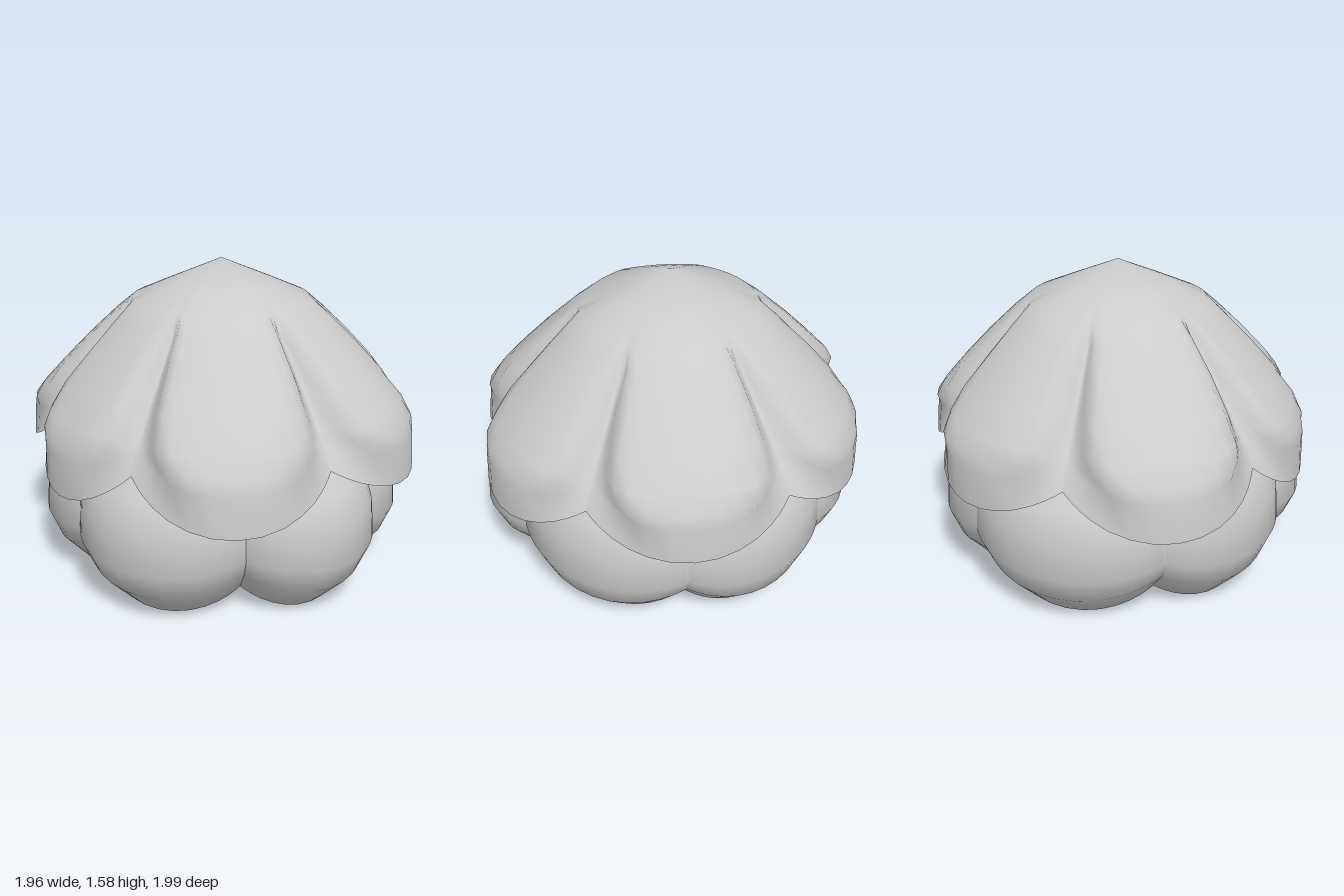
import * as THREE from 'three';
import { mergeVertices, toCreasedNormals } from 'three/addons/utils/BufferGeometryUtils.js';

const { lerp, smoothstep, degToRad } = THREE.MathUtils;

// Angles of the cap grooves, and of the seams between the lower bulges.
const GROOVES = [-86, -26, 40, 98, 160, 212, 274];
const SEAMS = [-117, -48, 8, 73, 125, 186, 243];
const STEPS = 16;

// Lobed surface: point(row, u, lobe) gives [radius, height], u runs -1..1 across a lobe.
function lobedSurface(edges, rows, point, crease) {
  const pos = [], index = [];
  const stride = STEPS + 1;
  for (let k = 0; k < edges.length - 1; k++) {
    const base = pos.length / 3;
    for (let row = 0; row < rows; row++) {
      for (let i = 0; i <= STEPS; i++) {
        const u = Math.sin((i / STEPS - 0.5) * Math.PI);
        const angle = degToRad(lerp(edges[k], edges[k + 1], (u + 1) / 2));
        const [r, y] = point(row, u, k);
        pos.push(r * Math.cos(angle), y, r * Math.sin(angle));
        if (row < rows - 1 && i < STEPS) {
          const a = base + row * stride + i, c = a + stride;
          index.push(a, a + 1, c, a + 1, c + 1, c);
        }
      }
    }
  }
  const geo = new THREE.BufferGeometry();
  geo.setAttribute('position', new THREE.Float32BufferAttribute(pos, 3));
  geo.setIndex(index);
  return toCreasedNormals(mergeVertices(geo, 1e-4), crease);
}

// Cap: ridge and groove profiles [r, y], with the share of the lobe that stays full.
const RIDGE = [[0, 1.59], [0.28, 1.47], [0.45, 1.395], [0.54, 1.32], [0.68, 1.185], [0.82, 1.035], [0.92, 0.92], [0.97, 0.845], [0.985, 0.78], [0.995, 0.59]];
const VALLEY = [[0, 1.59], [0.28, 1.47], [0.45, 1.395], [0.49, 1.3], [0.6, 1.16], [0.7, 1.03], [0.77, 0.93], [0.82, 0.86], [0.85, 0.82], [0.89, 0.74]];
const FULL = [0.8, 0.8, 0.8, 0.8, 0.76, 0.7, 0.6, 0.45, 0.25, 0];
// Reach and sag of each lobe, in the order of the grooves.
const CAP_SIZE = [1.0, 1.0, 1.03, 1.06, 0.98, 1.06];
const CAP_SAG = [0, 0, 0, 0.04, 0.04, 0.02];

function capPoint(row, u, lobe) {
  const last = RIDGE.length - 1;
  const w = row === last ? u * u : 0.08 * u * u + 0.92 * smoothstep(Math.abs(u), FULL[row], 1);
  const outer = (1 - u * u) * row / last;
  const grow = 1 + (CAP_SIZE[lobe] - 1) * outer;
  return [
    lerp(RIDGE[row][0], VALLEY[row][0], w) * grow,
    lerp(RIDGE[row][1], VALLEY[row][1], w) - CAP_SAG[lobe] * outer,
  ];
}

// Body: swelling outside, sharp lower rim, hollow underside.
const BODY = [[0, 1.0], [0.5, 0.95], [0.78, 0.8], [0.935, 0.64], [0.985, 0.5], [1.0, 0.3], [0.94, 0.16], [0.79, 0.01], [0.62, 0.035], [0.47, 0.11], [0.39, 0.23], [0.36, 0.42], [0, 0.5]];
const BODY_SIZE = [0.96, 0.92, 0.93, 1.0, 1.0, 0.93];
const RIM = 7;

function bodyPoint(row, u, lobe) {
  const [r, y] = BODY[row];
  // Size blends to a shared value where two bulges meet.
  const size = lerp(BODY_SIZE[lobe], 0.87, Math.pow(Math.abs(u), 2.1));
  const lift = (row > RIM ? 0.16 : 0.1) * u * u * smoothstep(0.5 - y, 0, 0.45);
  return [r * size, y + lift];
}

export function createModel() {
  const model = new THREE.Group();
  model.name = 'lobedBloom';
  const material = new THREE.MeshStandardMaterial({ color: 0xcccccc, side: THREE.DoubleSide });

  const cap = new THREE.Mesh(lobedSurface(GROOVES, RIDGE.length, capPoint, 1.4), material);
  cap.name = 'cap';

  const body = new THREE.Mesh(lobedSurface(SEAMS, BODY.length, bodyPoint, 0.75), material);
  body.name = 'lowerBulges';

  model.add(cap, body);
  return model;
}
